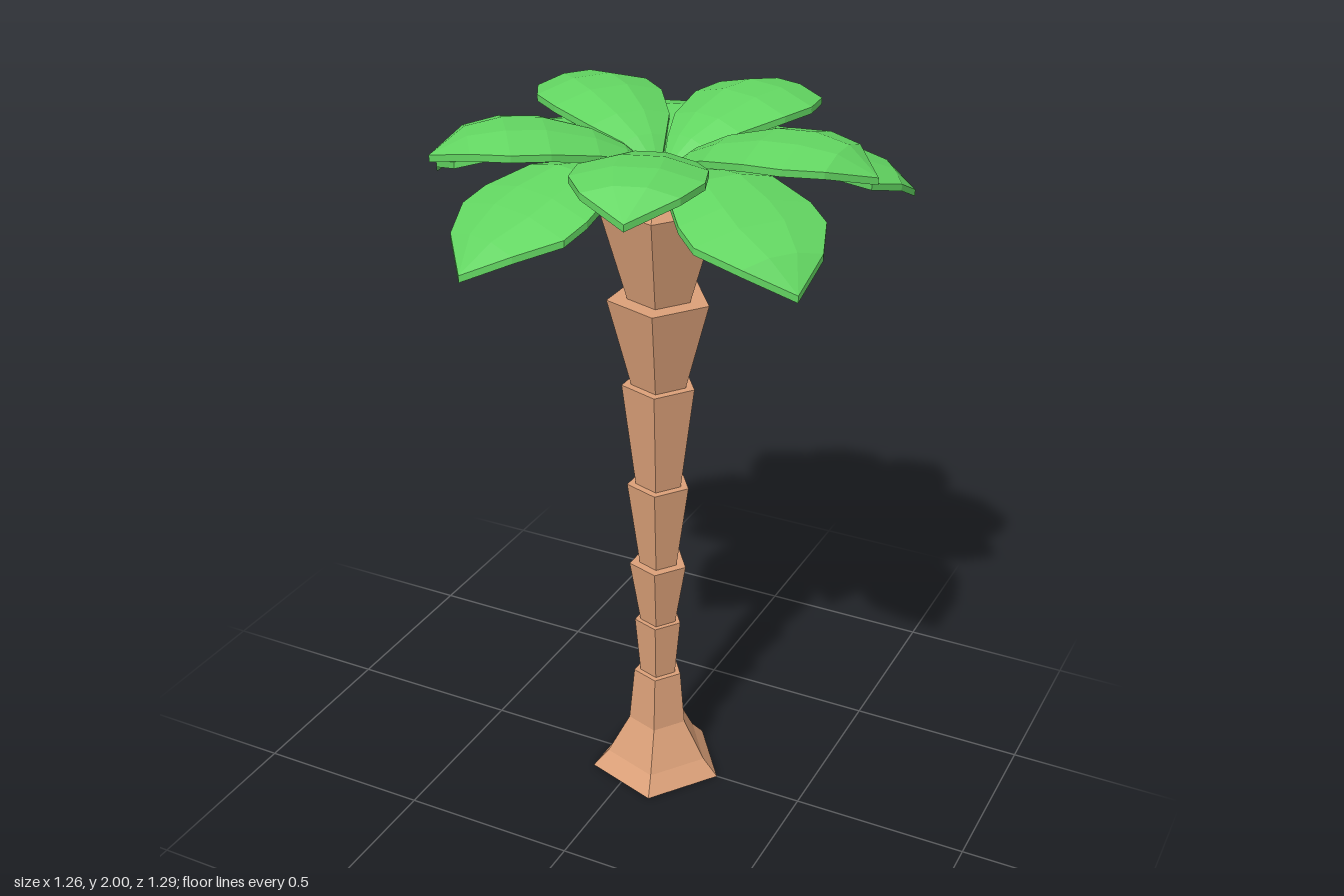
import * as THREE from 'three';

const CENTER_X = 0.046;
const bark = new THREE.MeshStandardMaterial({ color: 0xdba078, flatShading: true });
const green = new THREE.MeshStandardMaterial({ color: 0x62d561, flatShading: true });

// Domed leaf growing along +x from stations [reach, halfWidth, ridgeHeight]
function leafGeometry(stations, drop, thickness) {
  const across = [-1, -0.34, 0.34, 1];
  const ringSize = across.length * 2;
  const positions = [];
  const indices = [];
  for (const [reach, half, ridge] of stations) {
    const top = across.map((t) => [reach, ridge - drop * t * t * (half / 0.16), half * t]);
    const under = top.map(([x, y, z]) => [x, y - thickness, z]).reverse();
    positions.push(...top.flat(), ...under.flat());
  }
  for (let i = 0; i < stations.length - 1; i++) {
    for (let k = 0; k < ringSize; k++) {
      const a = i * ringSize + k;
      const b = i * ringSize + ((k + 1) % ringSize);
      indices.push(a, b, b + ringSize, a, b + ringSize, a + ringSize);
    }
  }
  const geometry = new THREE.BufferGeometry();
  geometry.setAttribute('position', new THREE.Float32BufferAttribute(positions, 3));
  geometry.setIndex(indices);
  geometry.computeVertexNormals();
  return geometry;
}

// Ring of five identical leaves
function leafTier(name, geometry, startAngle) {
  const tier = new THREE.Group();
  tier.name = name;
  for (let i = 0; i < 5; i++) {
    const leaf = new THREE.Mesh(geometry, green);
    leaf.name = `${name}Leaf${i + 1}`;
    leaf.rotation.y = startAngle + (i * Math.PI * 2) / 5;
    tier.add(leaf);
  }
  return tier;
}

export function createModel() {
  const palm = new THREE.Group();
  palm.name = 'palmTree';
  const tree = new THREE.Group();
  tree.name = 'tree';
  tree.position.x = CENTER_X;
  palm.add(tree);

  // Pentagonal trunk
  const trunk = new THREE.Group();
  trunk.name = 'trunk';
  tree.add(trunk);

  // Flared foot
  const foot = new THREE.Mesh(
    new THREE.LatheGeometry(
      [[0, 0], [0.195, 0], [0.15, 0.05], [0.086, 0.165], [0.071, 0.33], [0, 0.33]]
        .map(([r, y]) => new THREE.Vector2(r, y)),
      5, Math.PI / 2),
    bark);
  foot.name = 'trunkFoot';
  trunk.add(foot);

  // Stacked bark segments: bottom y, top y, bottom radius, top radius
  const segments = [
    [0.33, 0.505, 0.053, 0.069],
    [0.505, 0.695, 0.053, 0.084],
    [0.695, 0.95, 0.055, 0.09],
    [0.95, 1.255, 0.066, 0.104],
    [1.255, 1.505, 0.078, 0.143],
    [1.505, 1.765, 0.088, 0.163],
    [1.765, 1.85, 0.163, 0.085],
  ];
  segments.forEach(([y0, y1, r0, r1], i) => {
    const segment = new THREE.Mesh(
      new THREE.CylinderGeometry(r1, r0, y1 - y0, 5, 1, false, Math.PI / 2), bark);
    segment.name = i === segments.length - 1 ? 'trunkCap' : `trunkSegment${i + 1}`;
    segment.position.y = (y0 + y1) / 2;
    trunk.add(segment);
  });

  // Small faceted bud at the heart of the crown, one face up
  const bud = new THREE.Mesh(new THREE.DodecahedronGeometry(0.038), bark);
  bud.name = 'crownBud';
  bud.rotation.x = -Math.atan(0.618);
  bud.position.y = 1.862;
  tree.add(bud);

  // Crown: drooping lower tier and raised upper tier, tips bent down
  const lowerLeaf = leafGeometry([
    [0.03, 0.012, 1.85], [0.18, 0.09, 1.92], [0.31, 0.145, 1.935], [0.43, 0.18, 1.908],
    [0.505, 0.18, 1.882], [0.605, 0.11, 1.838], [0.677, 0, 1.762],
  ], 0.027, 0.018);
  const upperLeaf = leafGeometry([
    [0.025, 0.015, 1.865], [0.09, 0.062, 1.922], [0.17, 0.115, 1.962], [0.295, 0.158, 1.995],
    [0.395, 0.162, 2.0], [0.49, 0.117, 1.985], [0.584, 0, 1.925],
  ], 0.033, 0.018);
  tree.add(leafTier('lowerCrown', lowerLeaf, Math.PI / 5));
  tree.add(leafTier('upperCrown', upperLeaf, 0));

  return palm;
}
